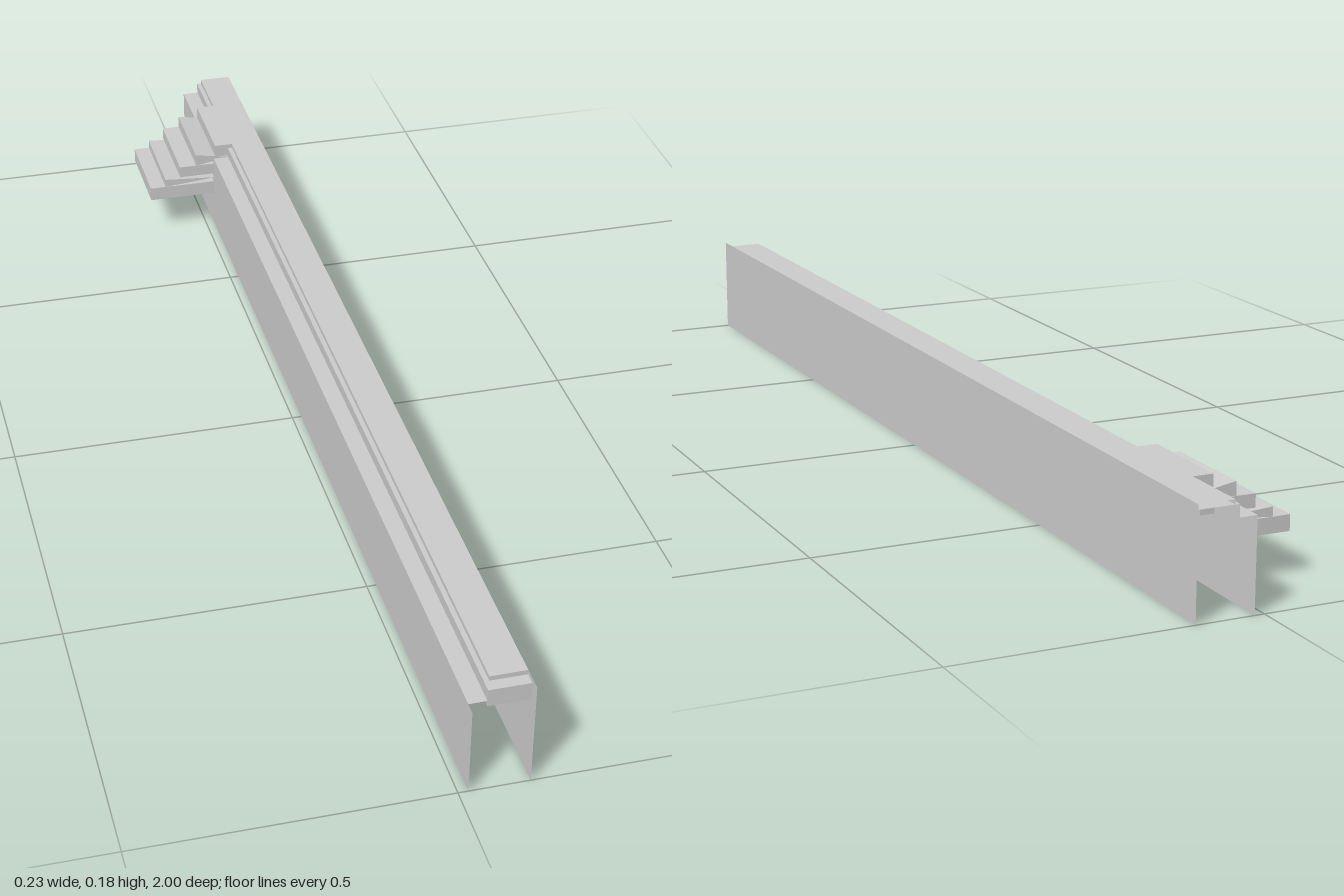
import * as THREE from 'three';

const material = new THREE.MeshStandardMaterial({ color: 0xcccccc, flatShading: true, side: THREE.DoubleSide });

export function createModel() {
  const group = new THREE.Group();

  const add = (name, geometry) => {
    const mesh = new THREE.Mesh(geometry, material);
    mesh.name = name;
    group.add(mesh);
  };

  // Solid block given by its limits
  const block = (name, x0, x1, y0, y1, z0, z1) => {
    const g = new THREE.BoxGeometry(x1 - x0, y1 - y0, z1 - z0);
    add(name, g.translate((x0 + x1) / 2, (y0 + y1) / 2, (z0 + z1) / 2));
  };

  // Open sheet: an (x, y) line swept from z0 to z1
  const sheet = (name, line, z0, z1) => {
    const pos = [];
    for (let i = 0; i < line.length - 1; i++) {
      const [ax, ay] = line[i], [bx, by] = line[i + 1];
      pos.push(ax, ay, z0, ax, ay, z1, bx, by, z1);
      pos.push(ax, ay, z0, bx, by, z1, bx, by, z0);
    }
    const g = new THREE.BufferGeometry();
    g.setAttribute('position', new THREE.Float32BufferAttribute(pos, 3));
    g.computeVertexNormals();
    add(name, g);
  };

  // Solid prism: an (x, y) outline swept from z0 to z1
  const prism = (name, outline, z0, z1) => {
    const shape = new THREE.Shape(outline.map(([x, y]) => new THREE.Vector2(x, y)));
    const g = new THREE.ExtrudeGeometry(shape, { depth: z1 - z0, bevelEnabled: false });
    add(name, g.translate(0, 0, z0));
  };

  // Thin side walls
  sheet('leftWall', [[0.112, 0], [0.112, 0.178]], -1, 1);
  sheet('rightWall', [[0.016, 0], [0.016, 0.15]], -1, 1);

  // Stepped deck, rising towards the left wall
  sheet('lowerDeck', [[0.016, 0.15], [0.045, 0.15], [0.045, 0.17], [0.112, 0.17]], -1, 0.98);
  sheet('upperDeck', [[0.053, 0.17], [0.053, 0.178], [0.112, 0.178]], -1, 0.96);

  // Plates closing the front ends of the deck
  block('frontPlate', 0.045, 0.112, 0.14, 0.17, 0.976, 0.98);
  block('upperFrontPlate', 0.053, 0.112, 0.17, 0.178, 0.957, 0.96);

  // Landing and side stairs near the back
  const z0 = -0.88, z1 = -0.71;
  block('landing', 0.019, 0.112, 0.154, 0.178, z0, z1);
  block('firstStep', -0.113, 0.015, 0.073, 0.099, z0, z1);
  prism('secondStep', [[-0.083, 0.099], [0.016, 0.108], [-0.083, 0.115]], z0, z1);
  block('thirdStep', -0.053, 0.04, 0.117, 0.139, z0, z1);
  prism('fourthStep', [[-0.02, 0.139], [0.047, 0.15], [-0.02, 0.162]], z0, z1);

  return group;
}
